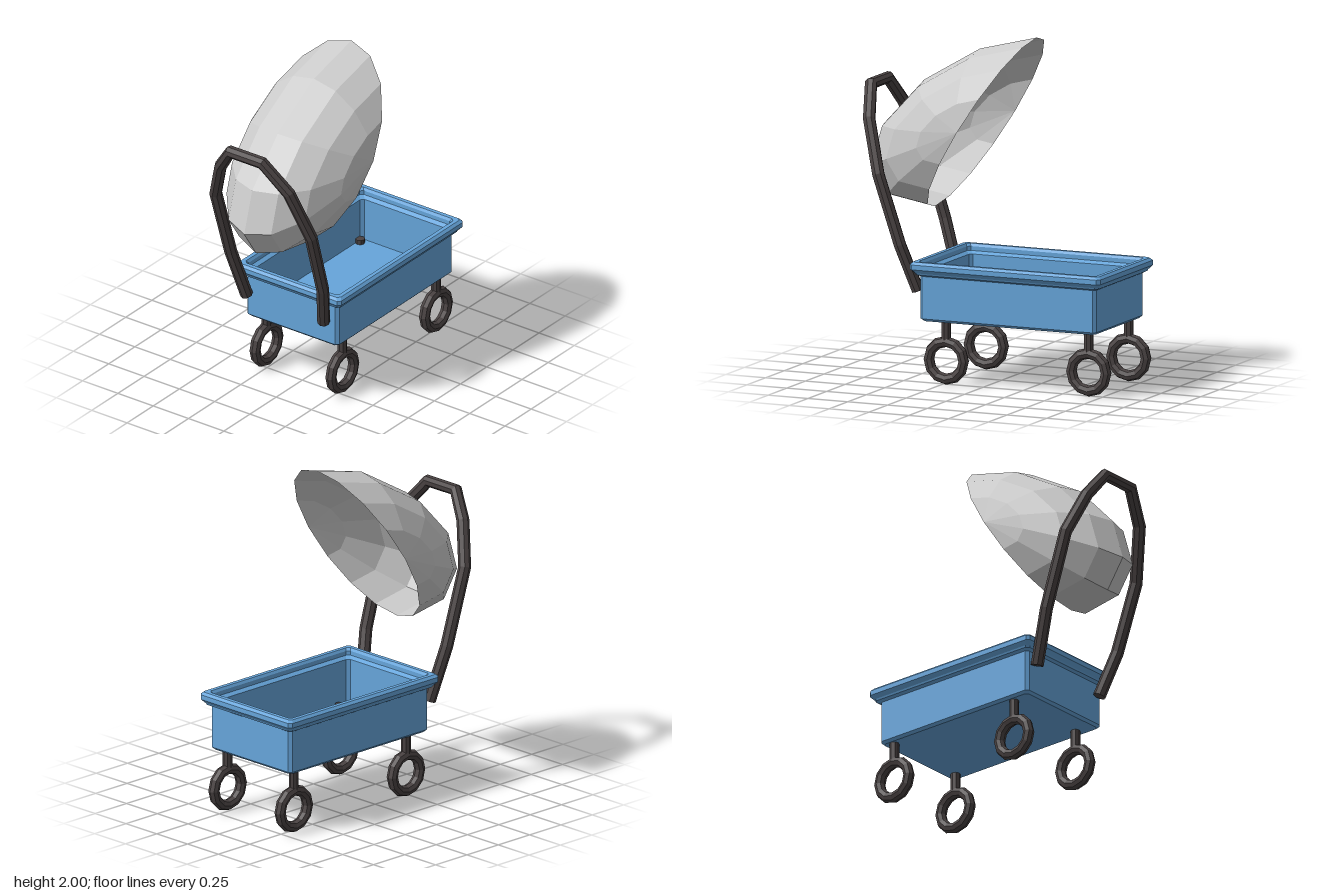
import * as THREE from 'three';

const material = (color, side = THREE.FrontSide) =>
  new THREE.MeshStandardMaterial({ color, flatShading: true, side });

function addMesh(parent, name, geometry, mat, x = 0, y = 0, z = 0) {
  const mesh = new THREE.Mesh(geometry, mat);
  mesh.name = name;
  mesh.position.set(x, y, z);
  parent.add(mesh);
  return mesh;
}

// Lofts corner-cut rectangles [outset, height] from the base up, over the rim and down to the floor.
function trayGeometry(halfX, halfZ, profile, cut) {
  const pos = [], index = [], n = 8;
  for (const [o, y] of profile) {
    const a = halfX + o, b = halfZ + o;
    const ring = [[a, b - cut], [a - cut, b], [cut - a, b], [-a, b - cut],
      [-a, cut - b], [cut - a, -b], [a - cut, -b], [a, cut - b]];
    for (const [x, z] of ring) pos.push(x, y, z);
  }
  for (let r = 0; r < profile.length - 1; r++) {
    for (let i = 0; i < n; i++) {
      const a = r * n + i, b = r * n + (i + 1) % n;
      index.push(a, a + n, b, b, a + n, b + n);
    }
  }
  // underside and inner floor
  const last = (profile.length - 1) * n;
  for (let i = 1; i < n - 1; i++) {
    index.push(0, i, i + 1);
    index.push(last, last + i + 1, last + i);
  }
  const g = new THREE.BufferGeometry();
  g.setAttribute('position', new THREE.Float32BufferAttribute(pos, 3));
  g.setIndex(index);
  const flat = g.toNonIndexed();
  flat.computeVertexNormals();
  return flat;
}

export function createModel() {
  const model = new THREE.Group();
  model.name = 'coveredCart';
  const blue = material(0x66a5db);
  const dark = material(0x4a4343);
  const grey = material(0xcccccc, THREE.DoubleSide);

  // Open tray with a thick bevelled rim
  const profile = [
    [-0.015, 0.37], [0, 0.385], [0, 0.63], [0.02, 0.64], [0.025, 0.65],
    [0.045, 0.672], [0.045, 0.7], [0.03, 0.715], [0.005, 0.715],
    [-0.005, 0.7], [-0.005, 0.675], [-0.028, 0.66], [-0.028, 0.4],
  ];
  addMesh(model, 'tray', trayGeometry(0.553, 0.327, profile, 0.018), blue, 0.19, 0, 0.008);

  // Four ring wheels, each on a stem that pokes through the floor
  for (const x of [-0.225, 0.67]) {
    for (const z of [0.265, -0.272]) {
      const wheel = new THREE.Group();
      wheel.name = 'wheelUnit';
      wheel.position.set(x, 0, z);
      addMesh(wheel, 'wheel', new THREE.TorusGeometry(0.109, 0.032, 8, 12), dark, 0, 0.143, 0);
      addMesh(wheel, 'stem', new THREE.CylinderGeometry(0.028, 0.028, 0.185, 8), dark, 0, 0.335, 0);
      model.add(wheel);
    }
  }

  // Push handle: a leaning arch given as [height, z]
  const points = [
    [0.535, 0.265], [0.8, 0.322], [1.2, 0.335], [1.5, 0.25], [1.675, 0.105],
    [1.675, -0.12], [1.53, -0.225], [1.29, -0.318], [0.85, -0.318], [0.535, -0.28],
  ].map(([y, z]) => new THREE.Vector3(-0.404 - 0.324 * (y - 0.537), y, z));
  const path = new THREE.CatmullRomCurve3(points);
  // sample exactly at the corners so the arch stays faceted
  path.getPointAt = path.getPoint;
  path.getTangentAt = path.getTangent;
  const handle = new THREE.Group();
  handle.name = 'handle';
  addMesh(handle, 'handleArch',
    new THREE.TubeGeometry(path, points.length - 1, 0.037, 8, false), dark);
  for (const t of [0, 1]) {
    const p = points[t * (points.length - 1)];
    const cap = addMesh(handle, 'handleEnd', new THREE.CircleGeometry(0.037, 8), dark, p.x, p.y, p.z);
    cap.lookAt(p.clone().addScaledVector(path.getTangent(t), t ? 1 : -1));
  }
  model.add(handle);

  // Canopy: half of a low-poly ellipsoid, sheared backwards along its rim
  const along = new THREE.Vector3(0.53, 0.848, 0);
  const outward = new THREE.Vector3(-0.848, 0.53, 0);
  const shell = new THREE.SphereGeometry(1, 6, 8, 0, Math.PI);
  shell.applyMatrix4(new THREE.Matrix4().makeBasis(
    along.clone().multiplyScalar(0.604),
    new THREE.Vector3(0, 0, -0.393),
    outward.multiplyScalar(0.51).addScaledVector(along, -0.372)));
  const flatShell = shell.toNonIndexed();
  flatShell.computeVertexNormals();
  addMesh(model, 'canopy', flatShell, grey, -0.1, 1.4875, 0);

  return model;
}
